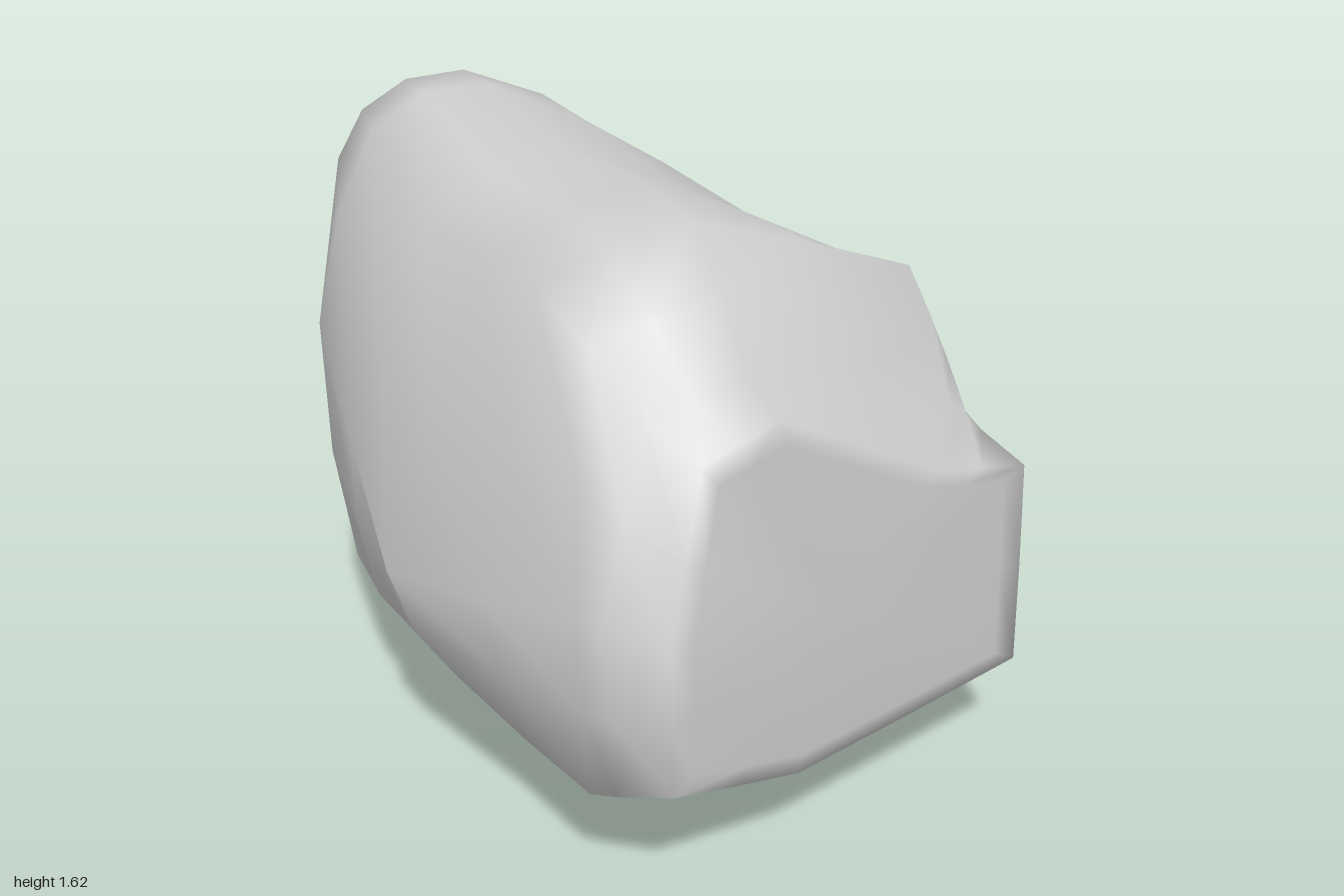
import * as THREE from 'three';

// Slices from front to back: depth z, slant of z along x, then eight corners
// (x, y) anticlockwise from the underside.
const slices = [
  [0.91, -0.27, 0, 0.26, 0.75, 0.28, 0.72, 0.84, 0.4, 0.92, -0.08, 1.17, -0.27, 1.1, -0.38, 0.72, -0.37, 0.36],
  // back of the ledge
  [0.76, -0.31, 0, 0.18, 0.77, 0.28, 0.71, 0.87, 0.58, 0.98, -0.08, 1.21, -0.33, 1.15, -0.5, 0.75, -0.46, 0.32],
  // top of the step
  [0.69, -0.3, 0.02, 0.15, 0.75, 0.29, 0.68, 0.92, 0.54, 1.2, -0.1, 1.38, -0.41, 1.29, -0.53, 0.75, -0.5, 0.3],
  [0.5, -0.12, 0.03, 0.08, 0.72, 0.3, 0.68, 0.96, 0.53, 1.3, -0.1, 1.5, -0.46, 1.38, -0.65, 0.7, -0.55, 0.29],
  [0.24, 0, 0.03, 0, 0.66, 0.37, 0.66, 0.98, 0.5, 1.27, -0.1, 1.53, -0.5, 1.38, -0.78, 0.64, -0.62, 0.31],
  [-0.15, 0, -0.27, 0.08, 0.6, 0.6, 0.64, 1, 0.47, 1.24, -0.14, 1.53, -0.53, 1.38, -0.75, 0.82, -0.7, 0.36],
  [-0.58, 0, -0.4, 0.19, 0.35, 0.78, 0.42, 1.14, 0.34, 1.34, -0.2, 1.62, -0.53, 1.52, -0.71, 1, -0.65, 0.27],
  [-0.93, 0, -0.3, 0.7, 0.03, 0.94, 0.28, 1.08, 0.3, 1.36, -0.15, 1.59, -0.46, 1.5, -0.57, 1.2, -0.48, 0.85],
];

// Loop through the corners with a point between each pair, which bulges more
// towards the back. The upper left corner leans back instead of forward.
function sliceLoop([z, slant, ...xy]) {
  const count = xy.length / 2;
  const corner = (i) => {
    const k = 2 * ((i + count) % count);
    const x = xy[k];
    const y = xy[k + 1];
    const lean = x < 0 ? 1 - 3 * Math.max(y - 0.8, 0) : 1;
    return new THREE.Vector3(x, y, z + slant * lean * x);
  };
  const loop = [];
  for (let i = 0; i < count; i++) {
    const sum = corner(i).add(corner(i + 1));
    const bulge = sum.clone().sub(corner(i - 1)).sub(corner(i + 2)).multiplyScalar((1 - z) / 32);
    loop.push(corner(i), sum.divideScalar(2).add(bulge));
  }
  return loop;
}

// Smaller copy of a loop, drawn in towards a centre
const inset = (loop, centre, amount) => loop.map((p) => p.clone().lerp(centre, amount));

function boulderGeometry() {
  const frontCentre = new THREE.Vector3(0.1, 0.65, 0.9);
  const backCentre = new THREE.Vector3(0.12, 1.12, -1);
  const body = slices.map(sliceLoop);
  const loops = [
    inset(body[0], frontCentre, 0.12),
    ...body,
    inset(body[body.length - 1], backCentre, 0.3),
  ];
  const n = loops[0].length;
  const points = loops.flat();
  const index = [];

  // skin between neighbouring loops
  const last = points.length - n;
  for (let start = 0; start < last; start += n) {
    for (let j = 0; j < n; j++) {
      const a = start + j;
      const b = start + (j + 1) % n;
      index.push(a, a + n, b, b, a + n, b + n);
    }
  }

  // flat front face and rounded back
  const front = points.length;
  points.push(frontCentre, backCentre);
  for (let j = 0; j < n; j++) {
    const k = (j + 1) % n;
    index.push(front, j, k, front + 1, last + k, last + j);
  }

  const geometry = new THREE.BufferGeometry().setFromPoints(points);
  geometry.setIndex(index);
  geometry.computeVertexNormals();
  return geometry;
}

export function createModel() {
  const stone = new THREE.MeshStandardMaterial({ color: 0xcccccc });
  stone.name = 'grey stone';
  const boulder = new THREE.Mesh(boulderGeometry(), stone);
  boulder.name = 'boulder';
  const group = new THREE.Group();
  group.name = 'rock';
  group.add(boulder);
  return group;
}
